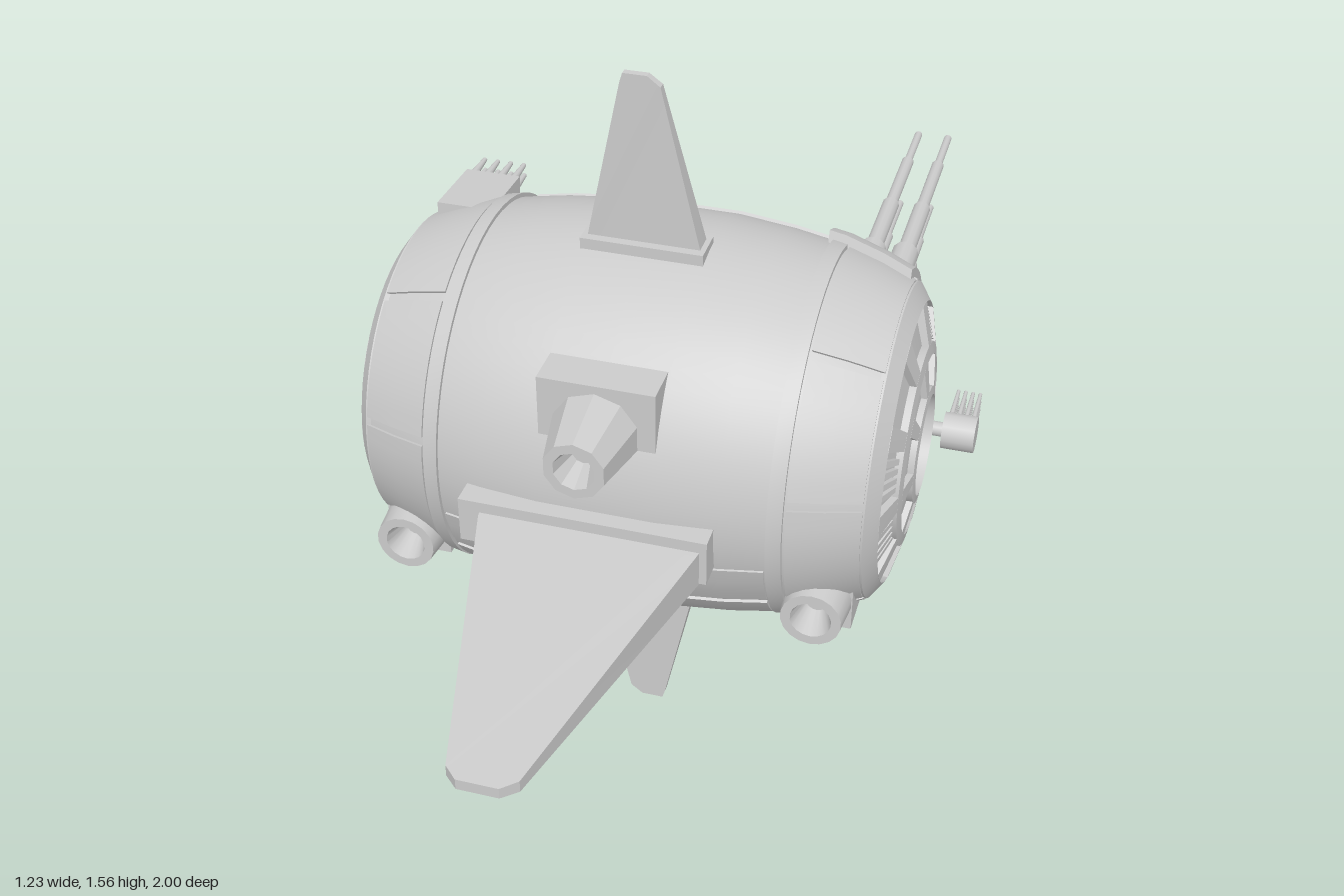
import * as THREE from 'three';
import { toCreasedNormals } from 'three/addons/utils/BufferGeometryUtils.js';

const CX = -0.04, CY = 0.78, CZ = -0.055; // centre of the barrel hull
const rad = THREE.MathUtils.degToRad;
const mat = new THREE.MeshStandardMaterial({ color: 0xcccccc });

// Hull radius against distance from the middle
const PROFILE = [[0, 0.41], [0.12, 0.41], [0.24, 0.398], [0.36, 0.378], [0.44, 0.353], [0.515, 0.322]];
function hullRadius(x) {
  const u = Math.abs(x - CX);
  for (let i = 1; i < PROFILE.length; i++) {
    const [u0, r0] = PROFILE[i - 1], [u1, r1] = PROFILE[i];
    if (u <= u1) return r0 + (r1 - r0) * (u - u0) / (u1 - u0);
  }
  return 0.322;
}

// Solid swept round the hull axis; angle 0 = front, 90 = up. Profiles run in +x.
function sector(outer, inner, a0, a1) {
  const loop = [...outer, ...inner.slice().reverse()], n = loop.length;
  const steps = Math.max(1, Math.ceil(Math.abs(a1 - a0) / 6)), pos = [];
  const P = ([x, r], a) => [x, CY + r * Math.sin(rad(a)), CZ + r * Math.cos(rad(a))];
  const quad = (a, b, c, d) => pos.push(...a, ...b, ...c, ...a, ...c, ...d);
  for (let j = 0; j < steps; j++) {
    const s = a0 + (a1 - a0) * j / steps, e = a0 + (a1 - a0) * (j + 1) / steps;
    for (let i = 0; i < n; i++) {
      const p = loop[i], q = loop[(i + 1) % n];
      quad(P(p, s), P(q, s), P(q, e), P(p, e));
    }
  }
  if (a1 - a0 < 360) for (let i = 0; i < outer.length - 1; i++) {
    const c = [outer[i], inner[i], inner[i + 1], outer[i + 1]];
    quad(...c.map(p => P(p, a0)));
    quad(...c.reverse().map(p => P(p, a1)));
  }
  const g = new THREE.BufferGeometry();
  g.setAttribute('position', new THREE.Float32BufferAttribute(pos, 3));
  return toCreasedNormals(g, 0.35);
}

// Raised plate that follows the hull
function plate(x0, x1, a0, a1, h) {
  const xs = [x0, ...PROFILE.flatMap(([u]) => [CX - u, CX + u]).filter(x => x > x0 + 0.005 && x < x1 - 0.005), x1];
  const line = [...new Set(xs)].sort((a, b) => a - b);
  return sector(line.map(x => [x, hullRadius(x) + h]), line.map(x => [x, hullRadius(x) - 0.02]), a0, a1);
}

// Part of an end cap; side is +1 or -1
function capPart(side, prof, a0, a1, depth) {
  const f = d => {
    const pts = prof.map(([u, r]) => [CX + side * (u - d), r]);
    return side < 0 ? pts.reverse() : pts;
  };
  return sector(f(0), f(depth), a0, a1);
}

// Tapered blade along y from rows [y, x0, x1, z0, z1]
function blade(rows) {
  const g = new THREE.BoxGeometry(1, 1, 1, 1, rows.length - 1, 1), p = g.attributes.position;
  for (let i = 0; i < p.count; i++) {
    const [y, x0, x1, z0, z1] = rows[Math.round((p.getY(i) + 0.5) * (rows.length - 1))];
    p.setXYZ(i, p.getX(i) > 0 ? x1 : x0, y, p.getZ(i) > 0 ? z1 : z0);
  }
  return toCreasedNormals(g, 0.2);
}

// Hollow tapered muzzle pointing forward
function muzzle(r0, r1, length, bore, sides) {
  const pts = [[r0, 0], [r1, length], [bore, length], [bore * 0.55, length - 0.06], [0, length - 0.06]];
  const g = new THREE.LatheGeometry(pts.map(p => new THREE.Vector2(...p)), sides).rotateX(Math.PI / 2);
  return toCreasedNormals(g, sides > 12 ? 0.5 : 0.2);
}

export function createModel() {
  const model = new THREE.Group();
  const add = (name, geo, x = 0, y = 0, z = 0, parent = model) => {
    const m = new THREE.Mesh(geo, mat);
    m.name = name;
    m.position.set(x, y, z);
    parent.add(m);
    return m;
  };
  const box = (name, x0, x1, y0, y1, z0, z1) =>
    add(name, new THREE.BoxGeometry(x1 - x0, y1 - y0, z1 - z0), (x0 + x1) / 2, (y0 + y1) / 2, (z0 + z1) / 2);
  const rod = (name, r, z0, z1, x, y, tip = r) =>
    add(name, new THREE.CylinderGeometry(r, tip, z1 - z0, 12).rotateX(Math.PI / 2), x, y, (z0 + z1) / 2);

  // Hull with recessed ends
  const half = [...PROFILE, [0.52, 0.29], [0.55, 0.19], [0.56, 0.115], [0.54, 0.105], [0.545, 0]];
  const full = [...half.slice(1).reverse().map(([u, r]) => [-u, r]), ...half];
  const hull = new THREE.LatheGeometry(full.map(([u, r]) => new THREE.Vector2(r, u)), 64).rotateZ(-Math.PI / 2);
  add('hull', toCreasedNormals(hull, 0.35), CX, CY, CZ);

  for (const s of [-1, 1]) {
    // Bands and end plating
    const span = (u0, u1) => [CX + s * u0, CX + s * u1].sort((a, b) => a - b);
    add('hullBand', plate(...span(0.335, 0.365), 0, 360, 0.009));
    for (const [a0, a1] of [[-42, 10], [13, 55], [58, 116], [119, 176], [179, 236], [239, 315]])
      add('endPlate', plate(...span(0.37, 0.508), a0, a1, 0.006));

    // End cap rims and spokes
    add('capOuterRim', capPart(s, [[0.512, 0.328], [0.537, 0.292]], 0, 360, 0.03));
    add('capMiddleRim', capPart(s, [[0.558, 0.212], [0.563, 0.187]], 0, 360, 0.025));
    add('capInnerRim', capPart(s, [[0.572, 0.122], [0.575, 0.105]], 0, 360, 0.035));
    for (let i = 0; i < 10; i++) {
      const a = i * 36;
      add('outerSpoke', capPart(s, [[0.537, 0.293], [0.558, 0.211]], a - 5, a + 5, 0.025));
      if (i % 3 === 0) for (let k = 0; k < 4; k++)
        add('windowSlat', capPart(s, [[0.531, 0.28], [0.552, 0.22]], a + 9 + k * 5, a + 12 + k * 5, 0.02));
    }
    for (let i = 0; i < 8; i++)
      add('innerSpoke', capPart(s, [[0.563, 0.188], [0.572, 0.121]], i * 45 - 6, i * 45 + 6, 0.025));
    const hub = new THREE.CylinderGeometry(0.03, 0.03, 0.03, 20).rotateZ(Math.PI / 2);
    add('capHub', hub, CX + s * 0.54, CY, CZ);
  }

  // Plates on the middle of the hull
  add('rearPlate', plate(-0.365, 0.285, 125, 190, 0.007));
  for (const [x0, x1] of [[-0.37, -0.16], [-0.153, 0.072], [0.079, 0.29]]) {
    add('lowerFrontPlate', plate(x0, x1, -82, -33, 0.006));
    add('lowerRearPlate', plate(x0, x1, 194, 262, 0.006));
  }
  for (const [x0, x1] of [[-0.37, -0.04], [-0.033, 0.29]])
    add('frontPlate', plate(x0, x1, -31, -14, 0.004));

  // Upper and lower fins
  for (const s of [1, -1]) {
    const fin = new THREE.Group();
    fin.name = s > 0 ? 'upperFin' : 'lowerFin';
    if (s < 0) {
      fin.rotation.z = Math.PI; // turned over about the hull centre
      fin.position.set(2 * CX, 2 * CY, 0);
    }
    add('finBlade', blade([[1.15, -0.165, 0.085, -0.032, 0.016], [1.2, -0.155, 0.075, -0.03, 0.016],
      [1.54, -0.084, -0.004, 0.003, 0.02], [1.56, -0.078, -0.03, 0.005, 0.02]]), 0, 0, 0, fin);
    add('finFoot', new THREE.BoxGeometry(0.25, 0.08, 0.08), CX, 1.163, -0.005, fin);
    model.add(fin);
  }

  // Front fin and its mounting block
  box('frontFinBlock', -0.31, 0.195, 0.69, 0.79, 0.24, 0.39);
  add('frontFin', blade([[0.34, -0.275, 0.19, -0.77, -0.685], [0.4, -0.265, 0.178, -0.765, -0.688],
    [0.975, -0.112, 0.024, -0.69, -0.665], [1, -0.085, -0.005, -0.688, -0.665]]).rotateX(Math.PI / 2));

  // Forward cannons
  box('cannonMount', -0.16, 0.075, 0.86, 1.065, 0.1, 0.325);
  add('cannon', muzzle(0.097, 0.062, 0.175, 0.042, 10), -0.045, 0.96, 0.28);
  for (const x of [-0.475, 0.385]) {
    box('sideCannonMount', x - 0.065, x + 0.07, 0.505, 0.65, 0.08, 0.23);
    add('sideCannon', muzzle(0.075, 0.062, 0.14, 0.042, 18), x, 0.57, 0.16);
  }

  // Rear four-barrel battery
  add('batteryMount', plate(0.285, 0.46, 111, 168, 0.025));
  for (const x of [0.335, 0.405]) {
    for (const [y, steps] of [[0.985, [-0.3, -0.45, -0.65, -0.86, -1]], [0.915, [-0.3, -0.41, -0.52, -0.63, -0.785]]])
      [0.029, 0.019, 0.014, 0.009].forEach((r, i) => rod('gunBarrel', r, steps[i + 1], steps[i], x, y));
  }

  // Side turret on the left end
  const along = (r, l) => new THREE.CylinderGeometry(r, r, l, 16).rotateZ(Math.PI / 2);
  add('turretArm', along(0.016, 0.12), 0.5, 0.67, -0.27);
  add('turretDrum', along(0.04, 0.07), 0.58, 0.67, -0.27);
  for (let i = 0; i < 4; i++) for (const y of [0.65, 0.67, 0.69])
    rod('turretBarrel', 0.006, -0.395, -0.28, 0.556 + i * 0.016, y, 0.004);

  // Rocket rack on the right shoulder
  const rack = box('rocketRack', -0.53, -0.41, 1.075, 1.135, -0.29, -0.12);
  rack.rotation.x = -0.06;
  for (let i = 0; i < 4; i++) for (const y of [1.095, 1.12])
    rod('rackRocket', 0.01, -0.36, -0.27, -0.515 + i * 0.03, y, 0.005);

  // Rocket pod low on the right rear, warheads pointing outward
  add('rocketPod', plate(-0.54, -0.41, 189, 236, 0.012));
  for (let row = 0; row < 6; row++) for (let col = 0; col < 3; col++) {
    const a = rad(193 + row * 7.8), x = -0.522 + col * 0.038 + (row % 2) * 0.014;
    const r = hullRadius(x) + 0.028;
    const cone = add('warhead', new THREE.ConeGeometry(0.018, 0.04, 6), x, CY + r * Math.sin(a), CZ + r * Math.cos(a));
    cone.rotation.x = Math.PI / 2 - a;
  }
  return model;
}
